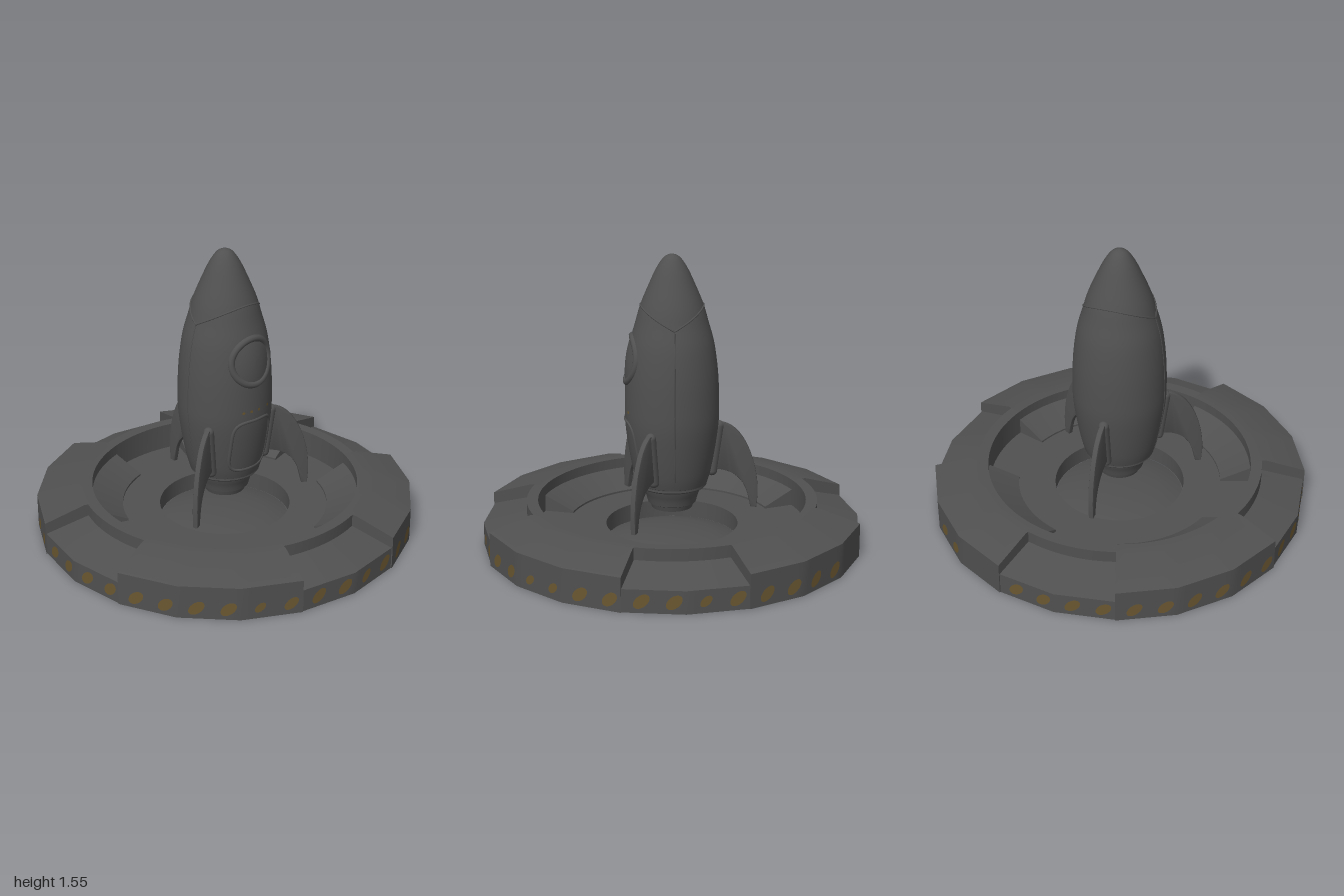
import * as THREE from 'three';
import { toCreasedNormals } from 'three/addons/utils/BufferGeometryUtils.js';

const grey = new THREE.MeshStandardMaterial({ color: 0x505050 });
grey.name = 'dark grey';
const amber = new THREE.MeshStandardMaterial({ color: 0x6a5731 });
amber.name = 'faded amber';

const DEG = Math.PI / 180;
const v2 = (pts) => pts.map(([x, y]) => new THREE.Vector2(x, y));

function add(parent, name, geometry, material = grey) {
  const mesh = new THREE.Mesh(geometry, material);
  mesh.name = name;
  parent.add(mesh);
  return mesh;
}

// Sweeps a closed counterclockwise (radius, height) profile between two
// azimuths; radii from 0.79 outward follow a twenty-sided outline.
function sector(profile, from, to) {
  const pos = [];
  const point = ([r, y], deg) => {
    const local = (((deg % 18) + 18) % 18) - 9;
    const k = r > 0.785 ? Math.cos(9 * DEG) / Math.cos(local * DEG) : 1;
    return [r * k * Math.sin(deg * DEG), y, r * k * Math.cos(deg * DEG)];
  };
  const tri = (a, b, c) => pos.push(...a, ...b, ...c);
  for (let a = from; a < to; a += 3) {
    profile.forEach((p, i) => {
      const q = profile[(i + 1) % profile.length];
      const [a0, b0, b1, a1] = [point(p, a), point(p, a + 3), point(q, a + 3), point(q, a)];
      tri(a0, b0, b1);
      tri(a0, b1, a1);
    });
  }
  if (to - from < 360) {
    for (const [i, j, k] of THREE.ShapeUtils.triangulateShape(v2(profile), [])) {
      tri(point(profile[i], from), point(profile[j], from), point(profile[k], from));
      tri(point(profile[i], to), point(profile[k], to), point(profile[j], to));
    }
  }
  const geometry = new THREE.BufferGeometry();
  geometry.setAttribute('position', new THREE.Float32BufferAttribute(pos, 3));
  return toCreasedNormals(geometry, 0.35);
}

// Hull outline, bottom to top
const hull = new THREE.SplineCurve(v2([
  [0.187, 0.335], [0.205, 0.4], [0.227, 0.52], [0.244, 0.65], [0.247, 0.76], [0.241, 0.92],
  [0.221, 1.08], [0.189, 1.2], [0.163, 1.29], [0.122, 1.39], [0.08, 1.48], [0.04, 1.537], [0, 1.555],
])).getPoints(60);

function hullRadius(y) {
  const i = Math.max(1, hull.findIndex((p) => p.y >= y));
  const a = hull[i - 1], b = hull[i];
  return THREE.MathUtils.lerp(a.x, b.x, (y - a.y) / (b.y - a.y));
}

// Point on the front of the hull, lifted by a small offset
function onHull(x, y, lift = 0) {
  const r = hullRadius(y) + lift;
  return new THREE.Vector3(x, y, Math.sqrt(r * r - x * x));
}

// Round or rounded-square bead lying on the hull front
function bead(rx, ry, cy, power, radius, lift) {
  const pts = [];
  for (let i = 0; i < 48; i++) {
    const a = (i / 48) * Math.PI * 2, c = Math.cos(a), s = Math.sin(a);
    pts.push(onHull(
      rx * Math.sign(c) * Math.abs(c) ** power,
      cy + ry * Math.sign(s) * Math.abs(s) ** power, lift));
  }
  return new THREE.TubeGeometry(new THREE.CatmullRomCurve3(pts, true), 96, radius, 10, true);
}

// Disc bent over the hull front
function patch(radius, cx, cy, lift, bulge = 0) {
  const g = new THREE.RingGeometry(0, radius, 32, 5);
  const p = g.attributes.position;
  for (let i = 0; i < p.count; i++) {
    const x = p.getX(i), y = p.getY(i);
    const q = onHull(cx + x, cy + y, lift + bulge * (1 - (x * x + y * y) / (radius * radius)));
    p.setXYZ(i, q.x, q.y, q.z);
  }
  g.computeVertexNormals();
  return g;
}

function buildPlatform() {
  const platform = new THREE.Group();
  platform.name = 'launchPad';
  const rim = 1.006;
  const raised = [[0.71, 0], [rim, 0], [rim, 0.18], [0.79, 0.245], [0.71, 0.245]];
  const notched = [[0.71, 0], [1, 0], [1, 0.12], [0.77, 0.18], [0.77, 0.245], [0.71, 0.245]];
  const ramp = [[0.55, 0.1], [0.712, 0.1], [0.712, 0.19], [0.55, 0.11]];
  for (let q = 0; q < 360; q += 90) {
    add(platform, 'notchedRim', sector(notched, q - 18, q + 18));
    add(platform, 'raisedRim', sector(raised, q + 18, q + 72));
    add(platform, 'innerRamp', sector(ramp, q + 18, q + 72));
  }
  add(platform, 'padFloor', sector([[0.35, 0.005], [0.712, 0.005], [0.712, 0.1], [0.35, 0.1]], 0, 360));

  // Domed floor of the central pit, with a hairline gap around it
  const dome = v2([[0, 0], [0.347, 0], [0.347, 0.006], [0.3, 0.022], [0.22, 0.04], [0.12, 0.05], [0, 0.054]]);
  add(platform, 'pitDome', toCreasedNormals(new THREE.LatheGeometry(dome, 120), 0.5));

  // Slanted paint marks, two on each outer facet; some are worn smaller
  const slant = new THREE.Matrix4().set(0.036, 0.018, 0, 0, 0, 0.038, 0, 0, 0, 0, 1, 0, 0, 0, 0, 1);
  const mark = new THREE.CircleGeometry(1, 20).applyMatrix4(slant);
  const worn = { 0: 0.85, 4: 0.7, 5: 0.75, 10: 0.75, 36: 0.7, 37: 0.9 };
  for (let k = 0; k < 20; k++) {
    if (k === 8) continue;
    const facet = new THREE.Group();
    facet.name = 'facetMarks';
    facet.rotation.y = (9 + 18 * k) * DEG;
    const radius = k % 5 === 0 || k % 5 === 4 ? 1 : rim;
    [-0.06, 0.098].forEach((x, j) => {
      const m = add(facet, 'paintMark', mark, amber);
      m.position.set(x, 0.06, radius * Math.cos(9 * DEG) + 0.002);
      m.scale.setScalar(worn[2 * k + j] ?? 1);
    });
    platform.add(facet);
  }
  return platform;
}

function buildRocket() {
  const rocket = new THREE.Group();
  rocket.name = 'rocket';
  add(rocket, 'hull', new THREE.LatheGeometry(hull, 64));

  // Nozzle hanging below the pad rim, and stepped base
  const nozzle = v2([
    [0, 0.23], [0.085, 0.22], [0.095, 0.195], [0.108, 0.195], [0.116, 0.22], [0.128, 0.226], [0.134, 0.25],
    [0.142, 0.275], [0.155, 0.3], [0.158, 0.316], [0.178, 0.316], [0.184, 0.323], [0.184, 0.335], [0.19, 0.34],
  ]);
  add(rocket, 'nozzle', toCreasedNormals(new THREE.LatheGeometry(nozzle, 40), 0.5));

  // Nose seam, dipping at both sides
  const seam = [];
  for (let i = 0; i < 64; i++) {
    const a = (i / 64) * Math.PI * 2;
    const y = 1.19 + 0.1 * Math.abs(Math.cos(a)), r = hullRadius(y);
    seam.push(new THREE.Vector3(r * Math.sin(a), y, r * Math.cos(a)));
  }
  add(rocket, 'noseSeam', new THREE.TubeGeometry(new THREE.CatmullRomCurve3(seam, true), 128, 0.005, 6, true));

  // Vertical side seams
  for (const side of [-1, 1]) {
    const pts = [];
    for (let i = 0; i <= 24; i++) {
      const y = 0.34 + (0.85 * i) / 24;
      pts.push(new THREE.Vector3(side * hullRadius(y), y, 0));
    }
    add(rocket, 'sideSeam', new THREE.TubeGeometry(new THREE.CatmullRomCurve3(pts), 48, 0.003, 6));
  }

  // Porthole and hatch, both in low relief
  add(rocket, 'windowFrame', bead(0.12, 0.12, 1.005, 1, 0.019, -0.006));
  add(rocket, 'windowGlass', patch(0.106, 0, 1.005, 0.003, 0.006));
  add(rocket, 'hatchFrame', bead(0.122, 0.148, 0.535, 0.45, 0.01, -0.004));

  // Row of small lamps above the hatch
  for (const x of [-0.075, -0.03, 0.018, 0.09]) {
    add(rocket, 'lamp', patch(0.008, x, 0.74, 0.003), amber);
  }

  // Three swept fins, reaching down past the pad rim, with rounded root fairings
  const outline = new THREE.Shape();
  outline.moveTo(0.2, 0.4);
  outline.bezierCurveTo(0.31, 0.41, 0.385, 0.35, 0.41, 0.25);
  outline.lineTo(0.425, 0.185);
  outline.lineTo(0.447, 0.185);
  outline.lineTo(0.452, 0.25);
  outline.bezierCurveTo(0.455, 0.42, 0.38, 0.64, 0.25, 0.65);
  outline.lineTo(0.2, 0.65);
  outline.closePath();
  const finGeometry = toCreasedNormals(new THREE.ExtrudeGeometry(outline, {
    depth: 0.016, bevelEnabled: true, bevelThickness: 0.006, bevelSize: 0.006, bevelSegments: 2, curveSegments: 16,
  }).translate(0, 0, -0.008), 0.6);
  const fairingGeometry = new THREE.CapsuleGeometry(0.028, 0.25, 6, 14);
  for (const angle of [90, 210, -30]) {
    const fin = new THREE.Group();
    fin.name = 'fin';
    fin.rotation.y = angle * DEG;
    add(fin, 'finBlade', finGeometry);
    const fairing = add(fin, 'finFairing', fairingGeometry);
    fairing.position.set(0.23, 0.51, 0);
    fairing.rotation.z = -0.14;
    rocket.add(fin);
  }
  return rocket;
}

export function createModel() {
  const model = new THREE.Group();
  model.name = 'rocketOnLaunchPad';
  model.add(buildPlatform(), buildRocket());
  return model;
}
